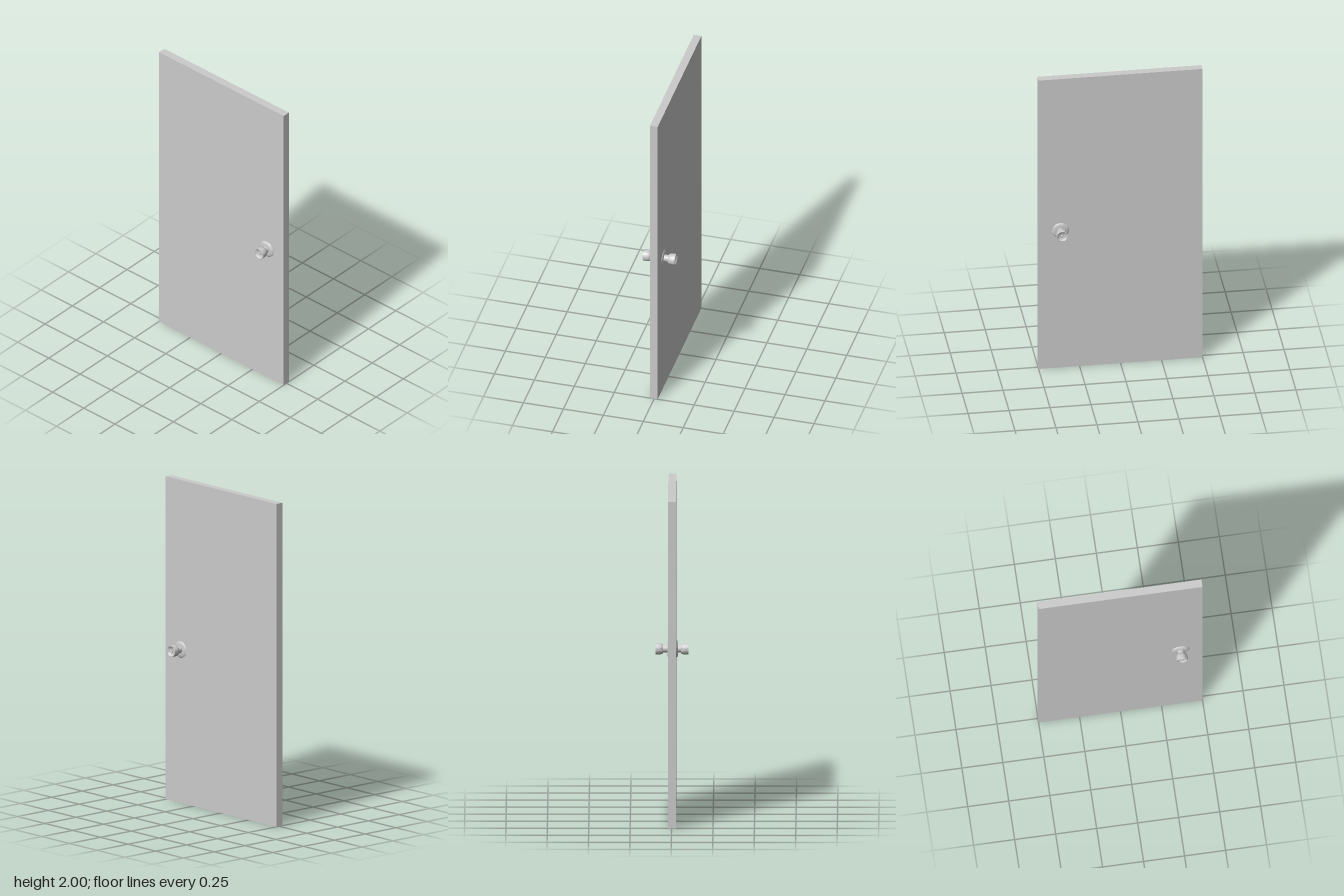
import * as THREE from 'three';
import { toCreasedNormals } from 'three/addons/utils/BufferGeometryUtils.js';

const material = new THREE.MeshStandardMaterial({ color: 0xcccccc });

// Turned part: [radius, height] pairs from base to tip
function turned(name, profile) {
  const points = profile.map(([r, h]) => new THREE.Vector2(r, h));
  const geometry = toCreasedNormals(new THREE.LatheGeometry(points, 40), 0.6);
  const mesh = new THREE.Mesh(geometry, material);
  mesh.name = name;
  return mesh;
}

// One knob set, its axis along +y from the middle of the door
function knobSet(name, roseTop) {
  const group = new THREE.Group();
  group.name = name;
  // round plate against the door
  group.add(turned('rose', [
    [0.053, 0], [0.053, roseTop - 0.008], [0.05, roseTop - 0.004],
    [0.043, roseTop], [0.021, roseTop], [0, roseTop],
  ]));
  // neck between plate and grip
  group.add(turned('neck', [[0.021, roseTop - 0.004], [0.021, 0.056]]));
  // flared grip with a dished end
  group.add(turned('knob', [
    [0, 0.054], [0.021, 0.054], [0.027, 0.055], [0.031, 0.06], [0.034, 0.069],
    [0.035, 0.08], [0.035, 0.099], [0.034, 0.1], [0.031, 0.1],
    [0.024, 0.093], [0.015, 0.09], [0, 0.09],
  ]));
  // small lock button in the dish
  group.add(turned('lockButton', [
    [0.008, 0.088], [0.008, 0.094], [0.007, 0.095], [0, 0.095],
  ]));
  return group;
}

export function createModel() {
  const model = new THREE.Group();
  model.name = 'door';

  // flat door slab
  const slab = new THREE.Mesh(new THREE.BoxGeometry(0.048, 2, 1), material);
  slab.name = 'doorSlab';
  slab.position.set(-0.002, 1, 0);
  model.add(slab);

  // a knob on each side
  for (const [name, side, roseTop] of [['leftKnob', 1, 0.028], ['rightKnob', -1, 0.036]]) {
    const knob = knobSet(name, roseTop);
    knob.position.set(0, 0.95, 0.366);
    knob.rotation.z = -side * Math.PI / 2;
    model.add(knob);
  }
  return model;
}
